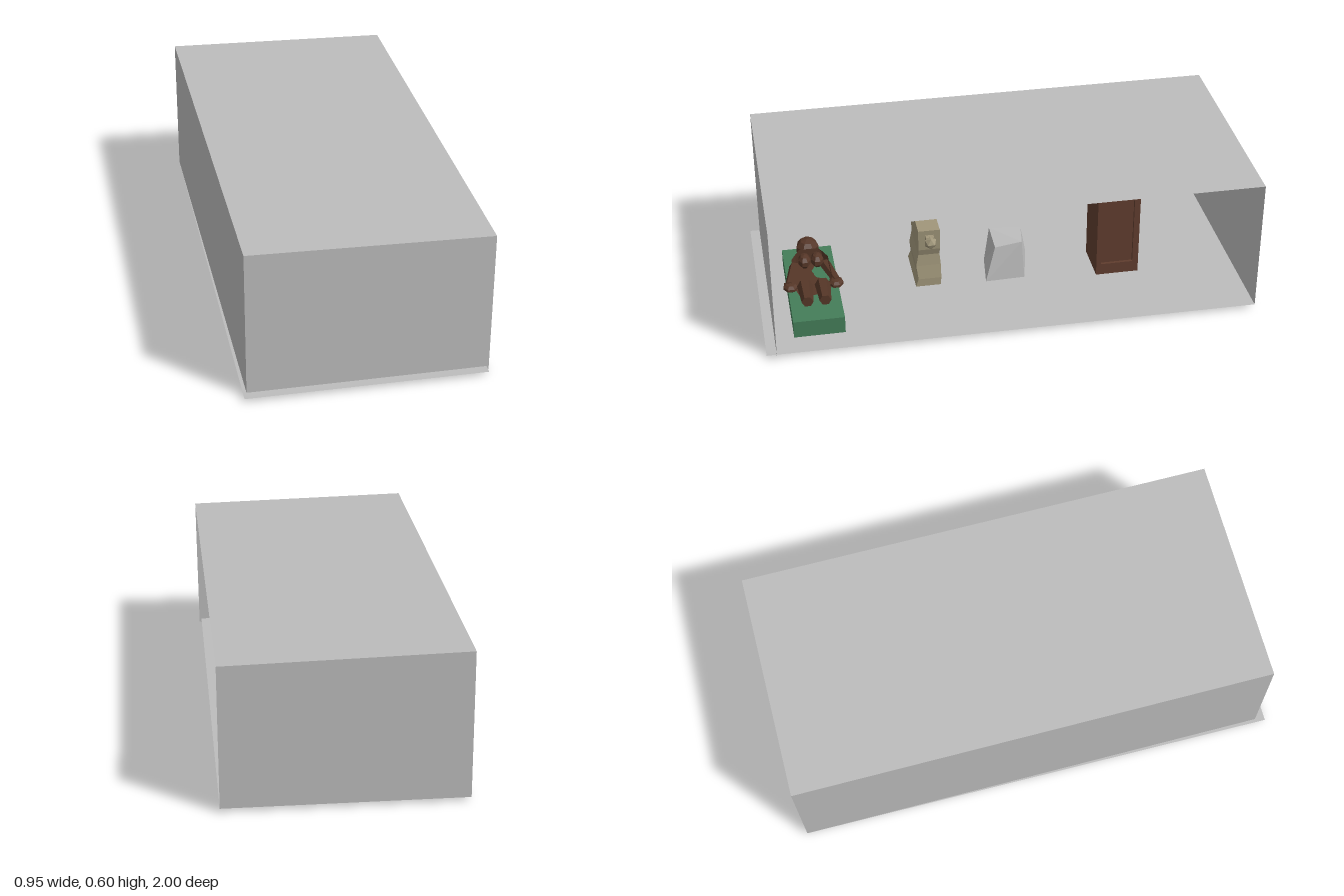
import * as THREE from 'three';

export function createModel() {
  const model = new THREE.Group();
  const mat = (name, color, side = THREE.FrontSide) => {
    const m = new THREE.MeshStandardMaterial({ color, side });
    m.name = name;
    m.flatShading = true;
    return m;
  };
  const grey = mat('plaster grey', 0xbcbcbc, THREE.DoubleSide);
  const brown = mat('wood brown', 0x603d2e);
  const darkBrown = mat('dark brown', 0x553627);
  const green = mat('mattress green', 0x447d59);
  const tan = mat('tan', 0xa0967a);

  const add = (name, geometry, material, parent = model) => {
    const mesh = new THREE.Mesh(geometry, material);
    mesh.name = name;
    parent.add(mesh);
    return mesh;
  };
  // Box given by its minimum and maximum corners
  const box = (name, a, b, material, parent) => {
    const g = new THREE.BoxGeometry(b[0] - a[0], b[1] - a[1], b[2] - a[2]);
    g.translate((a[0] + b[0]) / 2, (a[1] + b[1]) / 2, (a[2] + b[2]) / 2);
    return add(name, g, material, parent);
  };
  // Surface through four-cornered rings stacked from bottom to top
  const loft = (rings, closed = true) => {
    const n = rings[0].length, idx = [];
    for (let r = 0; r < rings.length - 1; r++)
      for (let i = 0; i < n; i++) {
        const a = r * n + i, b = r * n + (i + 1) % n;
        idx.push(a, b, b + n, a, b + n, a + n);
      }
    if (closed) {
      const t = (rings.length - 1) * n;
      for (let i = 1; i < n - 1; i++) idx.push(0, i + 1, i, t, t + i, t + i + 1);
    }
    const g = new THREE.BufferGeometry();
    g.setAttribute('position', new THREE.Float32BufferAttribute(rings.flat(2), 3));
    g.setIndex(idx);
    const flat = g.toNonIndexed();
    flat.computeVertexNormals();
    return flat;
  };
  const quad = (name, a, b, c, d) => {
    const g = new THREE.BufferGeometry();
    g.setAttribute('position', new THREE.Float32BufferAttribute([a, b, c, a, c, d].flat(), 3));
    g.computeVertexNormals();
    return add(name, g, grey);
  };

  // Room shell, open on the +x side
  const L = -0.463, F = 0.015, Z = 0.96;
  quad('floor', [-0.477, F, 1], [0.463, F, 1], [0.475, F, -1], [L, F, -1]);
  quad('roof', [L, 0.6, Z], [0.478, 0.58, Z], [0.478, 0.58, -1], [L, 0.6, -1]);
  quad('frontWall', [L, 0, Z], [0.472, 0, Z], [0.478, 0.58, Z], [L, 0.6, Z]);
  quad('backWall', [0.475, F, -1], [L, F, -1], [L, 0.6, -1], [0.478, 0.58, -1]);
  quad('sideWall', [L, F, -1], [L, F, Z], [L, 0.6, Z], [L, 0.6, -1]);

  // Wardrobe with a framed, recessed door
  const wardrobe = new THREE.Group();
  wardrobe.name = 'wardrobe';
  model.add(wardrobe);
  box('cabinet', [-0.045, 0.013, -0.59], [0.128, 0.483, -0.41], brown, wardrobe);
  box('frameTop', [0.128, 0.436, -0.59], [0.14, 0.483, -0.41], brown, wardrobe);
  box('frameBottom', [0.128, 0.013, -0.59], [0.14, 0.065, -0.41], brown, wardrobe);
  box('frameFrontPost', [0.128, 0.065, -0.43], [0.14, 0.436, -0.41], brown, wardrobe);
  box('frameBackPost', [0.128, 0.065, -0.59], [0.14, 0.436, -0.565], brown, wardrobe);

  // Tapered, skewed grey block
  add('taperedBlock', loft([
    [[-0.06, 0.013, 0.035], [0.105, 0.013, 0.056], [0.1, 0.013, -0.11], [-0.08, 0.025, -0.15]],
    [[-0.04, 0.187, 0.016], [0.083, 0.165, 0.013], [0.085, 0.182, -0.1], [-0.03, 0.183, -0.117]],
  ]), grey);

  // Tan pedestal: each row is y, back x, front x, back z, front z
  const pedestal = new THREE.Group();
  pedestal.name = 'pedestal';
  model.add(pedestal);
  const rows = [
    [0.012, -0.15, 0.09, 0.245, 0.35],
    [0.05, -0.14, 0.09, 0.242, 0.338],
    [0.11, -0.12, 0.08, 0.242, 0.345],
    [0.16, -0.12, 0.075, 0.246, 0.335],
    [0.19, -0.12, 0.085, 0.245, 0.335],
    [0.284, -0.12, 0.09, 0.245, 0.335],
  ];
  add('pedestalBody', loft(rows.map(([y, x0, x1, z0, z1]) =>
    [[x0, y, z1], [x1, y, z1], [x1, y, z0], [x0, y, z0]])), tan, pedestal);
  box('knobStem', [0.085, 0.222, 0.272], [0.112, 0.262, 0.306], tan, pedestal);
  const knob = add('knob', new THREE.IcosahedronGeometry(0.027, 0), tan, pedestal);
  knob.position.set(0.115, 0.241, 0.288);

  // Green mattress
  box('mattress', [-0.18, 0.013, 0.675], [0.36, 0.088, 0.882], green);

  // Reclining blocky figure on the mattress
  const figure = new THREE.Group();
  figure.name = 'recliningFigure';
  figure.position.set(0, 0.088, 0.778);
  model.add(figure);
  const lowBall = (name, r, s, p) => {
    const m = add(name, new THREE.SphereGeometry(r, 7, 5), darkBrown, figure);
    m.scale.set(...s);
    m.position.set(...p);
  };
  const section = (x, w, h) =>
    [[-w, 0], [-w, h * 0.7], [-w * 0.7, h], [w * 0.7, h], [w, h * 0.7], [w, 0]].map(([z, y]) => [x, y, z]);
  add('torso', loft([
    section(-0.06, 0.055, 0.07), section(0, 0.075, 0.092), section(0.12, 0.077, 0.09), section(0.18, 0.06, 0.068),
  ].map(r => r.reverse())), darkBrown, figure);
  lowBall('head', 0.05, [1.1, 0.9, 1], [-0.11, 0.045, 0]);
  for (const s of [-1, 1]) {
    const side = s > 0 ? 'left' : 'right';
    lowBall(side + 'Chest', 0.03, [1.3, 1, 0.9], [0.06, 0.092, s * 0.026]);
    lowBall(side + 'Hand', 0.032, [1.2, 0.55, 1], [0.13, 0.018, s * 0.093]);
    const arm = add(side + 'Arm', new THREE.CylinderGeometry(0.018, 0.024, 0.14, 6), darkBrown, figure);
    arm.rotation.set(0, s * -0.25, -Math.PI / 2);
    arm.position.set(0.06, 0.022, s * 0.08);
    const leg = add(side + 'Leg', new THREE.CylinderGeometry(0.024, 0.032, 0.12, 6), darkBrown, figure);
    leg.rotation.z = -Math.PI / 2;
    leg.position.set(0.21, 0.03, s * 0.036);
  }
  return model;
}
